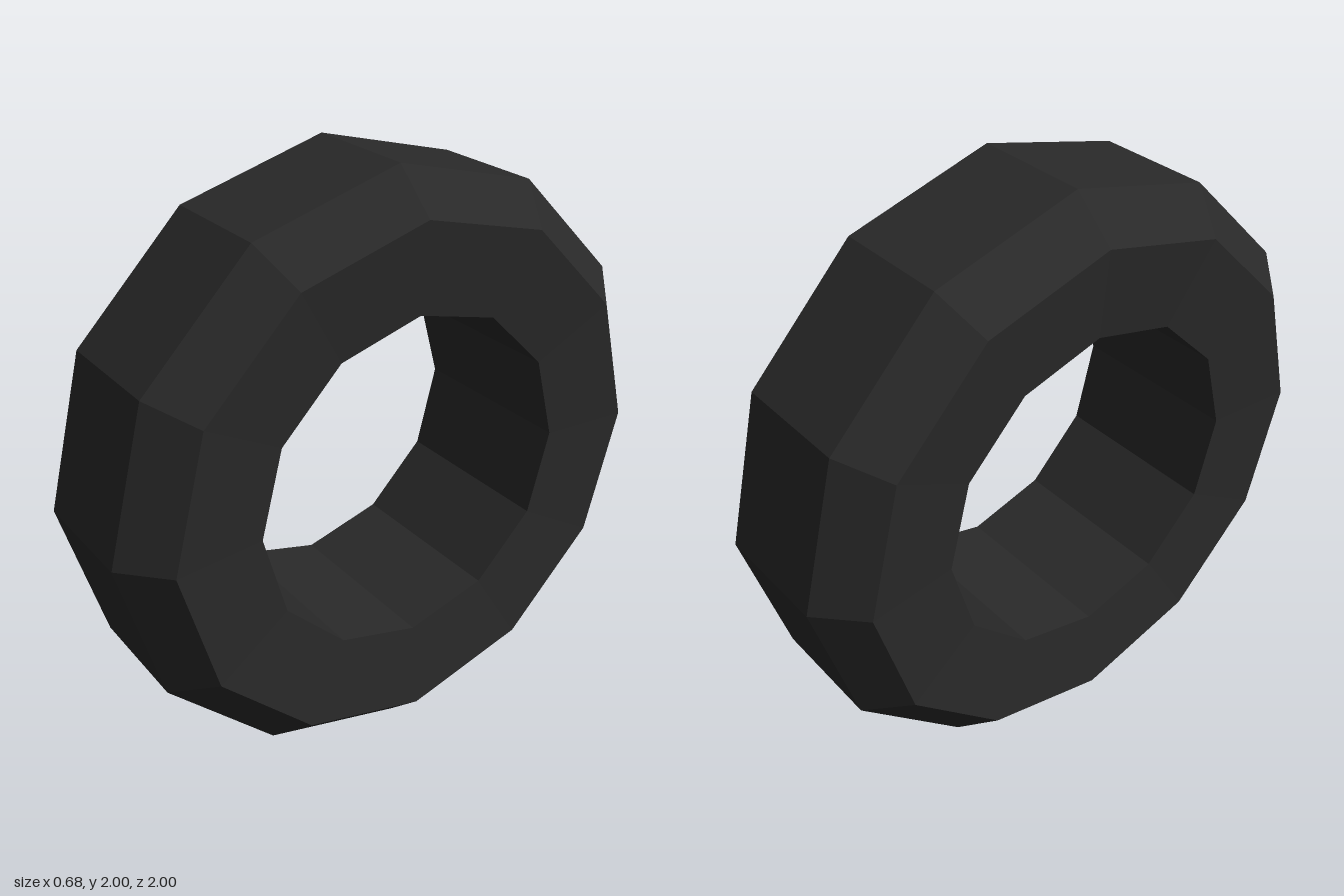
import * as THREE from 'three';

export function createModel() {
  const group = new THREE.Group();
  group.name = 'tyre';

  const rubber = new THREE.MeshStandardMaterial({ color: 0x292929, flatShading: true });
  rubber.name = 'dark rubber';

  // Closed cross-section as [radius, offset along axle]: tread, shoulders, dished sidewalls, bore
  const half = [[1, 0.2], [0.87, 0.34], [0.57, 0.31]];
  const section = [
    ...half.map(([r, a]) => [r, -a]).reverse(),
    ...half,
    [half[2][0], -half[2][1]],
  ].map(([r, a]) => new THREE.Vector2(r, a));

  // Twelve-sided ring, axle turned along x and lifted to stand on the ground
  const geometry = new THREE.LatheGeometry(section, 12);
  geometry.rotateZ(-Math.PI / 2);
  geometry.translate(0, 1, 0);

  const tyre = new THREE.Mesh(geometry, rubber);
  tyre.name = 'tyreRing';
  group.add(tyre);
  return group;
}
